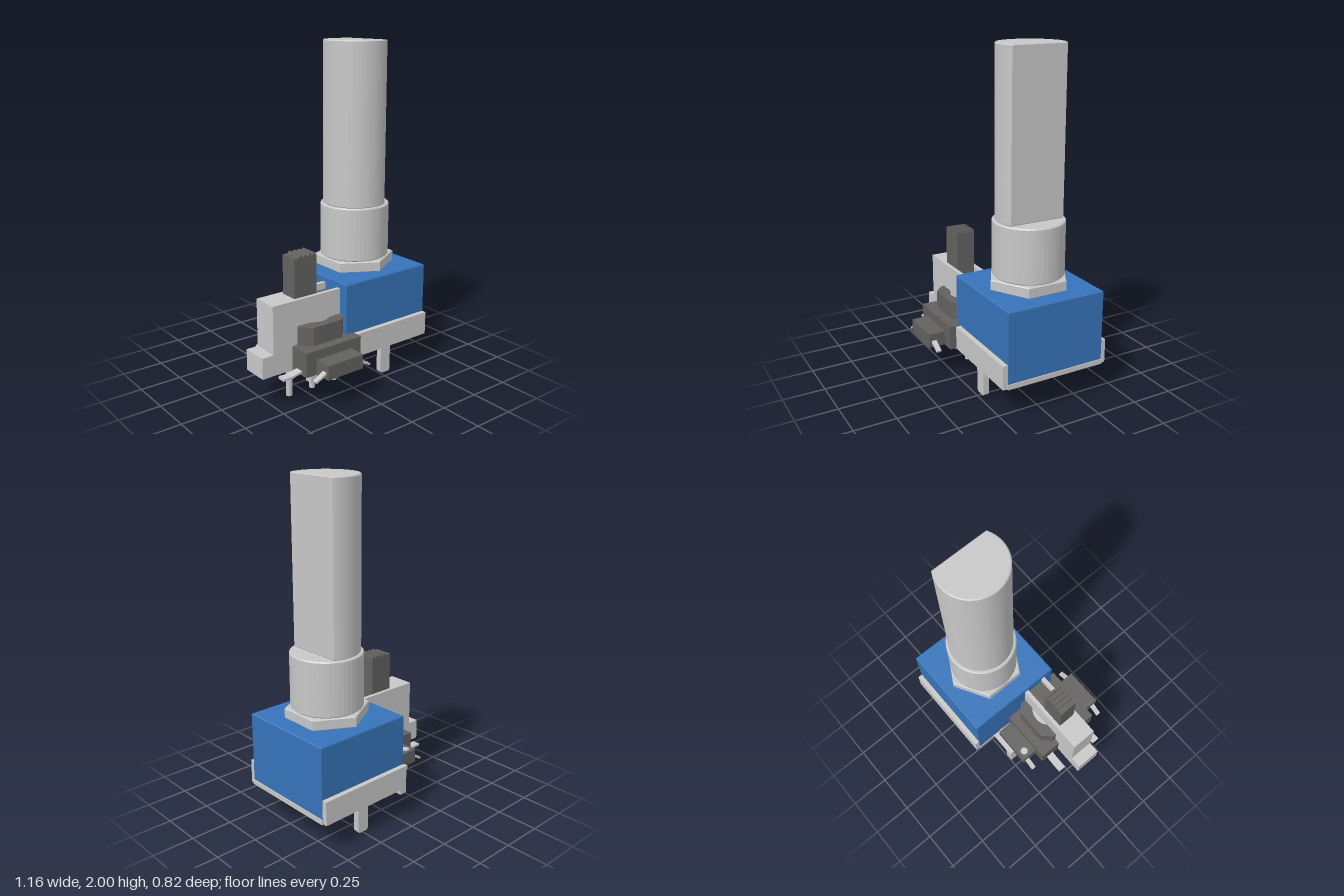
import * as THREE from 'three';

const mat = (name, color) => {
  const m = new THREE.MeshStandardMaterial({ color });
  m.name = name;
  return m;
};

export function createModel() {
  const metal = mat('metal', 0xc8c8c8);
  const blue = mat('blueHousing', 0x3674ba);
  const dark = mat('darkPlastic', 0x636261);
  const root = new THREE.Group();
  root.name = 'rotaryControlWithSlideSwitch';

  const group = (name) => {
    const g = new THREE.Group();
    g.name = name;
    root.add(g);
    return g;
  };
  const add = (parent, name, geo, material, x = 0, y = 0, z = 0) => {
    const m = new THREE.Mesh(geo, material);
    m.name = name;
    m.position.set(x, y, z);
    parent.add(m);
    return m;
  };
  // Box from its limits on each axis
  const box = (parent, name, material, [x0, x1], [y0, y1], [z0, z1]) =>
    add(parent, name, new THREE.BoxGeometry(x1 - x0, y1 - y0, z1 - z0), material,
      (x0 + x1) / 2, (y0 + y1) / 2, (z0 + z1) / 2);
  // Upright extrusion of a plan shape, with a small bevel
  const upright = (shape, height, bevel) => {
    const geo = new THREE.ExtrudeGeometry(shape, {
      depth: height - 2 * bevel, bevelEnabled: bevel > 0, bevelSize: bevel,
      bevelThickness: bevel, bevelOffset: -bevel, bevelSegments: 1, curveSegments: 24,
    });
    geo.translate(0, 0, bevel);
    return geo.rotateX(-Math.PI / 2);
  };
  const polygon = (pts) => new THREE.Shape(pts.map(([x, y]) => new THREE.Vector2(x, y)));
  const circle = (r) => new THREE.Shape().absarc(0, 0, r, 0, Math.PI * 2, false);

  // Rotary housing with its metal bracket
  const rotary = group('rotaryControl');
  const plan = polygon([[-0.307, -0.306], [0.307, -0.306], [0.307, 0.306], [-0.307, 0.306]]);
  add(rotary, 'housing', upright(plan, 0.437, 0.006), blue, 0.268, 0.21, -0.074);
  box(rotary, 'bottomPlate', metal, [-0.042, 0.581], [0.196, 0.225], [-0.384, 0.236]);
  for (const side of [-1, 1]) {
    const z = -0.0735 + side * 0.321;
    box(rotary, 'bracketSide', metal, [-0.038, 0.572], [0.198, 0.34], [z - 0.015, z + 0.015]);
    const tabZ = -0.0675 + side * 0.2855;
    const tab = polygon([[-0.037, 0.2], [-0.037, 0.03], [-0.028, 0.018], [0.028, 0.018], [0.037, 0.03], [0.037, 0.2]]);
    add(rotary, 'bracketTab', new THREE.ExtrudeGeometry(tab, { depth: 0.036, bevelEnabled: false }),
      metal, 0.265, 0, tabZ - 0.018);
  }
  // Blue patch showing on the underside
  const patch = new THREE.ShapeGeometry(polygon([[0.575, -0.38], [-0.04, -0.23], [-0.04, 0.23]]));
  patch.rotateX(Math.PI / 2);
  const underside = mat('blueHousing', 0x3674ba);
  underside.side = THREE.DoubleSide;
  add(rotary, 'undersidePatch', patch, underside, 0, 0.193, 0);

  // Nut, bushing and D-shaped shaft
  const hex = polygon([...Array(6).keys()].map((i) => {
    const a = Math.PI / 6 + i * Math.PI / 3;
    return [0.243 * Math.cos(a), 0.243 * Math.sin(a)];
  }));
  add(rotary, 'nut', upright(hex, 0.066, 0.006), metal, 0.268, 0.646, -0.073);
  add(rotary, 'bushing', upright(circle(0.208), 0.325, 0.007), metal, 0.268, 0.711, -0.073);
  const cut = Math.acos(0.093 / 0.192);
  const dShape = new THREE.Shape().absarc(0, 0, 0.192, cut, Math.PI * 2 - cut, false);
  dShape.closePath();
  add(rotary, 'shaft', upright(dShape, 0.966, 0.006), metal, 0.268, 1.034, -0.073);

  // Rotary terminals: a strip from the housing, then a leg down
  for (const z of [-0.23, -0.07, 0.09]) {
    box(rotary, 'terminalStrip', metal, [-0.21, -0.03], [0.19, 0.215], [z - 0.023, z + 0.023]);
    box(rotary, 'terminalLeg', metal, [-0.21, -0.16], [0.04, 0.2], [z - 0.023, z + 0.023]);
  }
  box(rotary, 'terminalEdge', metal, [-0.21, -0.04], [0.2, 0.225], [-0.26, -0.23]);

  // Push switch: stepped base and octagonal collar around a metal disc
  const push = group('pushSwitch');
  box(push, 'base', dark, [-0.38, 0.01], [0.2, 0.345], [-0.126, 0.302]);
  box(push, 'baseEnds', dark, [-0.31, -0.06], [0.205, 0.29], [-0.23, 0.407]);
  const a = 0.158, c = 0.1;
  const collar = polygon([[-a, -c], [-c, -a], [c, -a], [a, -c], [a, c], [c, a], [-c, a], [-a, c]]);
  collar.holes.push(new THREE.Path().absarc(0, 0, 0.107, 0, Math.PI * 2, true));
  add(push, 'collar', upright(collar, 0.111, 0), dark, -0.186, 0.344, 0.088);
  add(push, 'disc', new THREE.CylinderGeometry(0.107, 0.107, 0.1, 24), metal, -0.186, 0.385, 0.088);
  add(push, 'peg', new THREE.CylinderGeometry(0.024, 0.024, 0.02, 10), metal, -0.265, 0.284, 0.188);
  push.children.at(-1).position.z = -0.188;
  for (const z of [-0.062, 0.235]) {
    box(push, 'sideLeadFoot', metal, [-0.505, -0.435], [0.2, 0.213], [z - 0.025, z + 0.025]);
    const riser = box(push, 'sideLeadRiser', metal, [-0.445, -0.37], [0.208, 0.221], [z - 0.025, z + 0.025]);
    riser.rotation.z = 0.2;
  }
  for (const z of [-0.2, 0.375]) {
    for (const side of [-1, 1]) {
      const lead = add(push, 'endLead', new THREE.BoxGeometry(0.08, 0.013, 0.03), metal,
        -0.185 + side * 0.157, 0.222, z);
      lead.rotation.z = -side * 0.5;
    }
  }

  // Slide switch: slotted metal shell, end block and dark lever
  const slide = group('slideSwitch');
  for (const z of [0.01, 0.145]) {
    box(slide, 'shellWall', metal, [-0.35, -0.038], [0.2, 0.61], [z, z + 0.025]);
  }
  box(slide, 'shellBlock', metal, [-0.507, -0.345], [0.2, 0.61], [0.01, 0.17]);
  box(slide, 'shellStep', metal, [-0.581, -0.507], [0.2, 0.325], [0.01, 0.17]);
  box(slide, 'slotFloor', dark, [-0.345, -0.04], [0.21, 0.57], [0.035, 0.145]);
  box(slide, 'lever', dark, [-0.343, -0.192], [0.5, 0.842], [0.033, 0.147]);
  for (let i = 0; i < 4; i++) {
    const ridge = polygon([[-0.011, 0], [0.009, 0], [0.007, 0.013], [-0.004, 0.013]]);
    add(slide, 'leverRidge', new THREE.ExtrudeGeometry(ridge, { depth: 0.112, bevelEnabled: false }),
      dark, -0.298 + i * 0.031, 0.841, 0.034);
  }
  for (const x of [-0.35, -0.185, -0.02]) {
    add(slide, 'pin', new THREE.CylinderGeometry(0.02, 0.018, 0.22, 8), metal, x, 0.11, 0.09);
  }
  return root;
}
